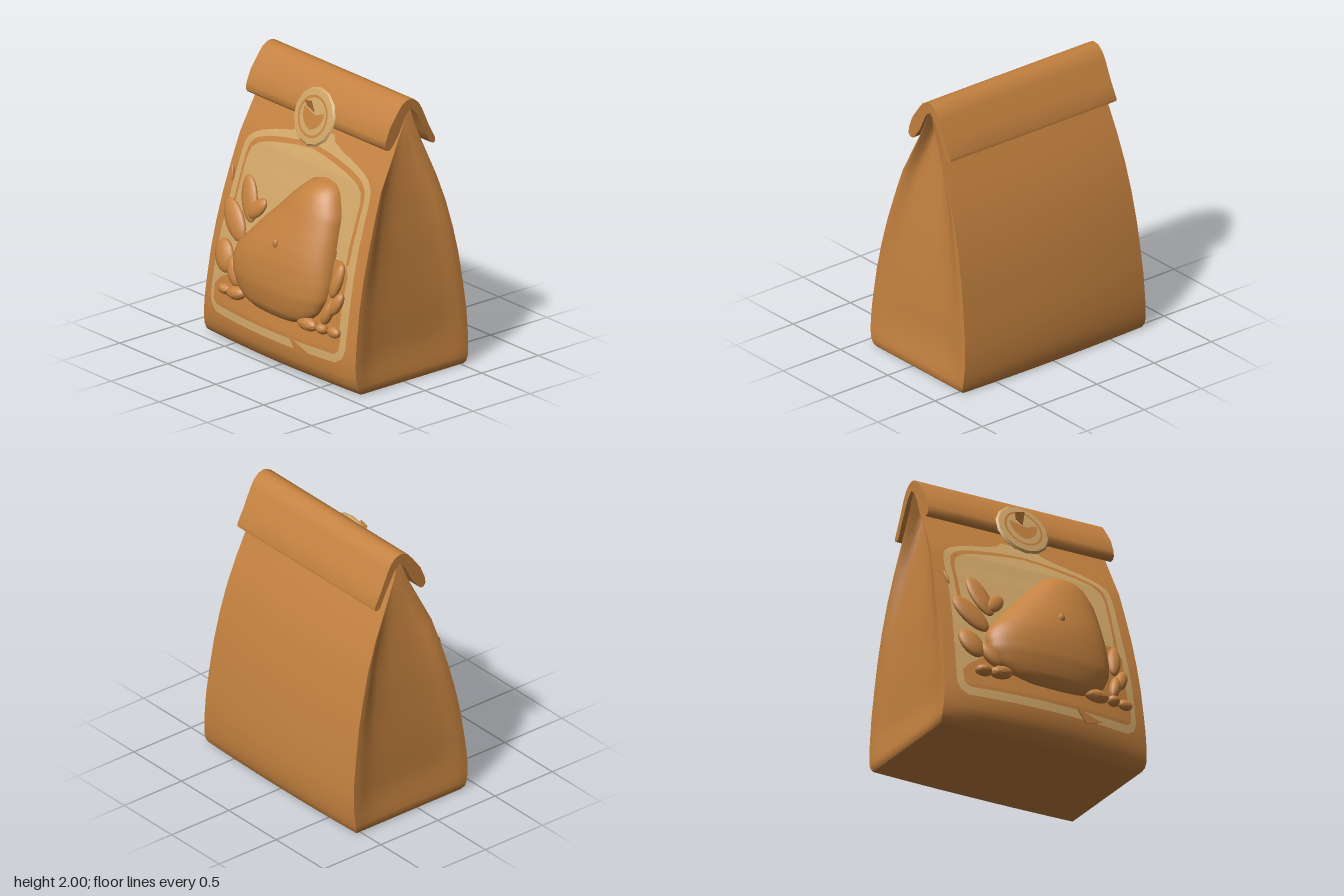
import * as THREE from 'three';
import { toCreasedNormals } from 'three/addons/utils/BufferGeometryUtils.js';

// piecewise-linear lookup in [y, value] pairs
function lookup(table, y) {
  if (y <= table[0][0]) return table[0][1];
  for (let i = 1; i < table.length; i++) {
    const [y1, v1] = table[i], [y0, v0] = table[i - 1];
    if (y <= y1) return v0 + (v1 - v0) * (y - y0) / (y1 - y0);
  }
  return table[table.length - 1][1];
}

// bag profile: front and back seams, half width, bulges, side recess
const FRONT = [[0, .38], [.02, .405], [.06, .422], [.12, .432], [.2, .434], [.3, .427], [.4, .415], [.6, .387], [.8, .345], [1, .292], [1.2, .23], [1.4, .162], [1.6, .06], [1.8, -.04], [1.94, -.09]];
const BACK = [[0, -.53], [.02, -.54], [.06, -.55], [.2, -.56], [.4, -.55], [.6, -.525], [.8, -.495], [1, -.452], [1.2, -.398], [1.4, -.326], [1.6, -.238], [1.8, -.152], [1.94, -.11]];
const WIDTH = [[0, .78], [.02, .793], [.06, .797], [.2, .788], [.6, .773], [1, .757], [1.4, .735], [1.7, .72], [1.94, .71]];
const BULGE = [[0, .025], [.06, .065], [.2, .083], [.3, .083], [.5, .065], [.9, .033], [1.3, .012], [1.94, 0]];
const BACK_BULGE = [[0, .015], [.1, .027], [.4, .025], [1.4, .008], [1.94, 0]];
const RECESS = [[0, 0], [.1, .012], [.25, .028], [.45, .024], [.7, .032], [1, .046], [1.3, .068], [1.6, .095], [1.94, .11]];

function frontZ(x, y) {
  const u = x / lookup(WIDTH, y);
  return lookup(FRONT, y) + lookup(BULGE, y) * (1 - u * u);
}

// join rows of points into a surface
function loft(rows, closed) {
  const n = rows[0].length, index = [];
  for (let i = 0; i < rows.length - 1; i++) {
    for (let j = 0; j < (closed ? n : n - 1); j++) {
      const a = i * n + j, b = i * n + (j + 1) % n, c = b + n, d = a + n;
      index.push(a, b, c, a, c, d);
    }
  }
  const g = new THREE.BufferGeometry();
  g.setAttribute('position', new THREE.Float32BufferAttribute(rows.flat(2), 3));
  g.setIndex(index);
  return toCreasedNormals(g, .7);
}

// rings of the bag from floor to fold, with sides tucked in behind the seams
function bagRings() {
  const sides = [[.03, 0], [.07, .12], [.12, .5], [.2, .85], [.35, .95], [.5, 1], [.65, .95], [.8, .85], [.88, .5], [.93, .12], [.97, 0]];
  return [0, .02, .06, .12, .2, .3, .4, .5, .6, .7, .8, .9, 1, 1.1, 1.2, 1.3, 1.4, 1.5, 1.6, 1.7, 1.8, 1.94].map((y) => {
    const w = lookup(WIDTH, y), f = lookup(FRONT, y), b = lookup(BACK, y), d = lookup(RECESS, y), row = [];
    for (let i = 0; i <= 16; i++) {
      const x = w * (i / 8 - 1);
      row.push([x, y, frontZ(x, y)]);
    }
    for (const [t, k] of sides) row.push([w - d * k, y, f + (b - f) * t]);
    for (let i = 0; i <= 12; i++) {
      const u = 1 - i / 6;
      row.push([w * u, y, b - lookup(BACK_BULGE, y) * (1 - u * u)]);
    }
    for (const [t, k] of sides) row.push([-w + d * k, y, b + (f - b) * t]);
    return row;
  });
}

// thin panel lying on the bag front between left and right limits
function panel(left, right, lift) {
  const rows = [], y0 = right[0][0], y1 = right[right.length - 1][0];
  for (let i = 0; i <= 40; i++) {
    const y = y0 + (y1 - y0) * i / 40, l = lookup(left, y), r = lookup(right, y), row = [];
    for (let j = 0; j <= 24; j++) {
      const x = l + (r - l) * j / 24;
      row.push([x, y, frontZ(x, y) + lift]);
    }
    rows.push(row);
  }
  return loft(rows, false);
}
const mirror = (t) => t.map(([y, v]) => [y, -v]);

// pear-shaped relief bulging from the front: outline left/right and crest depth
function reliefGeometry() {
  const left = [[.37, -.02], [.39, -.17], [.43, -.3], [.5, -.39], [.6, -.45], [.7, -.46], [.78, -.43], [.9, -.32], [1, -.23], [1.1, -.13], [1.2, -.04], [1.28, .04], [1.33, .1], [1.36, .2]];
  const right = [[.37, .1], [.39, .24], [.43, .36], [.5, .44], [.6, .49], [.7, .5], [.85, .49], [1, .475], [1.15, .455], [1.25, .41], [1.31, .37], [1.34, .33], [1.36, .24]];
  const crest = [[.37, .49], [.4, .535], [.45, .565], [.52, .58], [.6, .59], [.7, .585], [.8, .57], [.9, .54], [1, .5], [1.1, .455], [1.2, .41], [1.27, .37], [1.32, .32], [1.345, .27], [1.36, .19]];
  const rows = [];
  for (let i = 0; i <= 44; i++) {
    const y = .37 + .99 * (1 - Math.cos(Math.PI * i / 44)) / 2;
    const l = lookup(left, y), r = lookup(right, y), row = [];
    for (let j = 0; j <= 28; j++) {
      const a = Math.PI * j / 28, x = (l + r) / 2 - (r - l) / 2 * Math.cos(a);
      const base = frontZ(x, y) - .005;
      row.push([x, y, base + Math.max(0, lookup(crest, y) - base) * Math.pow(Math.sin(a), .8)]);
    }
    rows.push(row);
  }
  return loft(rows, false);
}

export function createModel() {
  const model = new THREE.Group();
  model.name = 'paperBag';
  const mat = (name, color) => Object.assign(new THREE.MeshStandardMaterial({ color }), { name });
  const paper = mat('brown paper', 0xc4813f);
  const tan = mat('tan print', 0xd0a668);
  const shape = (points) => new THREE.Shape(points.map((p) => new THREE.Vector2(...p)));
  function add(name, geometry, material, parent = model) {
    const mesh = new THREE.Mesh(geometry, material);
    mesh.name = name;
    parent.add(mesh);
    return mesh;
  }

  const rings = bagRings();
  add('bagBody', loft(rings, true), paper);
  const floor = shape(rings[0].map(([x, , z]) => [x, z]));
  add('bagFloor', new THREE.ShapeGeometry(floor).rotateX(Math.PI / 2), paper);

  // folded top, an inverted V drawn in (z, y) and extruded across x
  const outline = [[.055, 1.69], [.075, 1.672], [.1, 1.674], [.117, 1.695], [.112, 1.74], [.075, 1.83], [.01, 1.92], [-.03, 1.97], [-.07, 1.994], [-.1, 2], [-.14, 1.99], [-.18, 1.955], [-.21, 1.905], [-.27, 1.77], [-.325, 1.665], [-.325, 1.64], [-.305, 1.632], [-.28, 1.645], [-.24, 1.73], [-.16, 1.88], [-.11, 1.93], [-.07, 1.9], [0, 1.76]];
  const foldShape = shape(outline.map(([z, y]) => [-z, y]));
  const fold = new THREE.ExtrudeGeometry(foldShape, { depth: 1.45, bevelEnabled: false, steps: 6 });
  fold.rotateY(Math.PI / 2).translate(-.728, 0, 0);
  add('foldedTop', toCreasedNormals(fold, .9), paper);

  // printed label layers
  const border = [[.21, .62], [.235, .67], [.3, .7], [.6, .695], [1, .67], [1.3, .66], [1.37, .65], [1.42, .62], [1.46, .55], [1.5, .43], [1.535, .27], [1.57, .17], [1.61, .14]];
  const stripe = [[.95, .615], [1.3, .613], [1.37, .595], [1.42, .54], [1.46, .41], [1.49, .25], [1.51, .1], [1.515, 0]];
  const inner = [[.94, .59], [1.28, .588], [1.35, .567], [1.395, .51], [1.435, .37], [1.465, .2], [1.485, .07], [1.488, 0]];
  const ground = [[.27, .61], [.3, .65], [.4, .655], [.46, .6], [.52, .5], [.56, .4]];
  add('labelBorder', panel(mirror(border), border, .008), tan);
  add('labelStripe', panel(mirror(stripe), stripe, .012), paper);
  add('labelCentre', panel(mirror(inner), inner, .016), tan);
  add('labelGround', panel(mirror(ground), ground, .015), paper);
  add('labelBank', panel([[.4, .45], [.9, .49]], [[.4, .64], [.6, .63], [.8, .635], [.86, .61], [.89, .56]], .017), paper);
  add('labelStripeEnd', panel([[.87, .59], [.96, .588]], [[.87, .615], [.96, .615]], .012), paper);

  add('pearRelief', reliefGeometry(), paper);

  // leaves and pebbles: x, y, half width, half height, half depth, turn
  const blobs = [
    ['leaf', -.445, 1.04, .075, .165, .03, .4], ['leaf', -.345, 1.0, .055, .1, .03, -.75],
    ['leaf', -.545, .87, .085, .165, .035, .75], ['leaf', -.575, .62, .085, .12, .04, .5],
    ['leaf', -.44, .55, .06, .11, .04, .6], ['leaf', .555, .76, .05, .125, .035, -.15],
    ['leaf', .59, .61, .045, .09, .035, -.4], ['leaf', .53, .54, .04, .1, .04, -.3],
    ['leaf', -.68, 1.15, .012, .055, .012, .25],
    ['pebble', -.51, .41, .065, .04, .05, 0], ['pebble', -.38, .42, .09, .05, .05, .2],
    ['pebble', .5, .42, .05, .04, .05, 0], ['pebble', .6, .42, .06, .04, .035, 0],
    ['pebble', .36, .42, .1, .05, .05, 0],
  ];
  for (const [name, x, y, w, h, d, turn] of blobs) {
    const g = name === 'leaf' ? new THREE.SphereGeometry(1, 14, 10) : toCreasedNormals(new THREE.IcosahedronGeometry(1, 1), .4);
    const holder = new THREE.Group();
    holder.name = name + 'Holder';
    holder.position.set(x, y, frontZ(x, y) + .025);
    holder.rotation.x = -.28;
    const mesh = add(name, g, paper, holder);
    mesh.scale.set(w, h, d);
    mesh.rotation.z = turn;
    model.add(holder);
  }
  // small nub on the relief
  const nub = add('reliefNub', new THREE.IcosahedronGeometry(1, 1), paper);
  nub.position.set(.07, .92, .53);
  nub.scale.set(.025, .035, .02);
  // torn scrap at the label's lower edge
  const scrap = shape([[.2, .28], [.39, .22], [.27, .185]]);
  add('paperScrap', new THREE.ExtrudeGeometry(scrap, { depth: .008, bevelEnabled: false }), paper).position.z = .515;

  // round seal leaning against the fold
  const seal = new THREE.Group();
  seal.name = 'seal';
  seal.position.set(0, 1.715, .125);
  seal.rotation.x = -.31;
  const rim = [[0, -.015], [.19, -.015], [.205, 0], [.192, .014], [.16, .017], [0, .017]].map((p) => new THREE.Vector2(...p));
  add('sealDisc', toCreasedNormals(new THREE.LatheGeometry(rim, 14).rotateX(Math.PI / 2), .5), tan, seal);
  add('sealRing', new THREE.RingGeometry(.13, .147, 28), paper, seal).position.z = .02;
  const drop = new THREE.Shape();
  drop.moveTo(0, -.095);
  drop.quadraticCurveTo(.11, -.06, .108, .045);
  drop.lineTo(.02, .015);
  drop.lineTo(-.1, .05);
  drop.quadraticCurveTo(-.11, -.06, 0, -.095);
  add('sealPatch', new THREE.ShapeGeometry(drop), paper, seal).position.z = .022;
  // small flap lifted from the seal, facing downward
  const chip = shape([[-.06, 0], [0, -.03], [0, .06], [-.07, .045]]);
  const flap = add('sealFlap', new THREE.ExtrudeGeometry(chip, { depth: .006, bevelEnabled: false }), paper, seal);
  flap.position.set(0, .06, .032);
  flap.rotation.x = .6;
  model.add(seal);

  return model;
}
